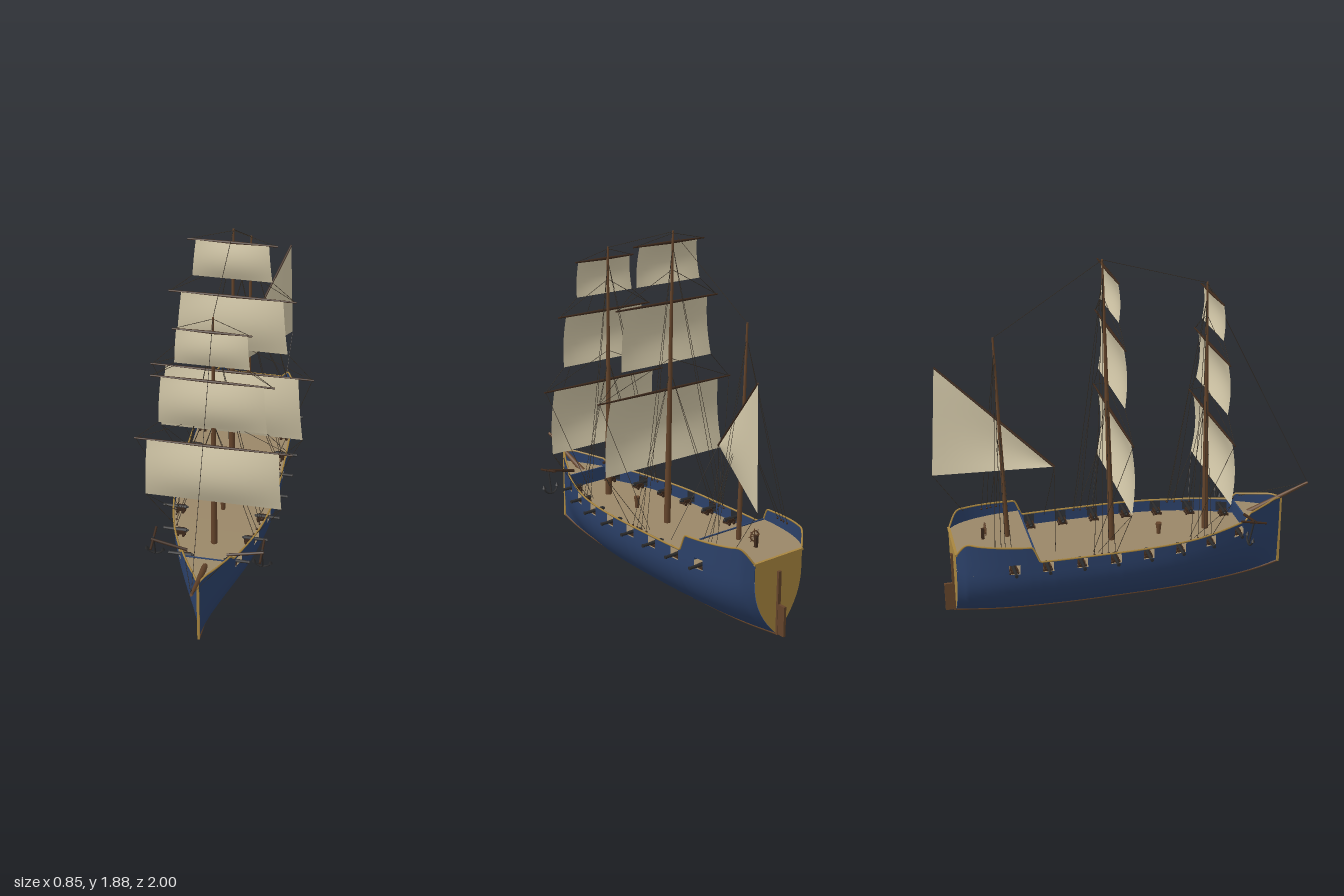
import * as THREE from 'three';
import { mergeGeometries } from 'three/addons/utils/BufferGeometryUtils.js';

const V = (x, y, z) => new THREE.Vector3(x, y, z);
const material = (name, color, side = THREE.FrontSide) =>
  Object.assign(new THREE.MeshStandardMaterial({ color, side }), { name });

// Smooth or straight lookup in a list of [z, value] pairs (z ascending)
function table(pairs, smooth) {
  const Kind = smooth ? THREE.CubicInterpolant : THREE.LinearInterpolant;
  const interp = new Kind(pairs.map(p => p[0]), pairs.map(p => p[1]), 1, new Float32Array(1));
  return z => interp.evaluate(z)[0];
}

const BOW = 0.845, STERN = -0.935, PORT_Y = 0.36, DECK = 0.352;
const halfWidth = table([[-0.935, 0.15], [-0.9, 0.185], [-0.83, 0.222], [-0.7, 0.255], [-0.5, 0.27], [-0.2, 0.274],
  [0, 0.272], [0.2, 0.255], [0.4, 0.212], [0.6, 0.135], [0.75, 0.06], [0.845, 0.003]], true);
const keelY = table([[-0.935, 0.05], [-0.7, 0.022], [-0.4, 0.008], [-0.1, 0.006], [0.3, 0.014],
  [0.6, 0.04], [0.75, 0.065], [0.845, 0.09]], true);
const topPairs = [[-0.935, 0.45], [-0.9, 0.51], [-0.88, 0.525], [-0.57, 0.505], [-0.53, 0.42], [0.3, 0.42],
  [0.6, 0.435], [0.63, 0.47], [0.8, 0.49], [0.845, 0.48]];
const topY = table(topPairs, false);
const ports = [-0.66, -0.49, -0.315, -0.14, 0.035, 0.21, 0.385, 0.56];

// Grid surface from a rule; cells can be left open
function surface(fn, nu, nv, skip = () => false) {
  const pos = [], index = [];
  for (let i = 0; i <= nu; i++) for (let j = 0; j <= nv; j++) pos.push(...fn(i, j));
  for (let i = 0; i < nu; i++) for (let j = 0; j < nv; j++) {
    if (skip(i, j)) continue;
    const a = i * (nv + 1) + j, c = a + nv + 1;
    index.push(a, a + 1, c, a + 1, c + 1, c);
  }
  const g = new THREE.BufferGeometry();
  g.setAttribute('position', new THREE.Float32BufferAttribute(pos, 3));
  g.setIndex(index);
  g.computeVertexNormals();
  return g;
}

// Tapered round bar between two points
function bar(a, b, ra, rb = ra, sides = 10) {
  const d = b.clone().sub(a);
  const g = new THREE.CylinderGeometry(rb, ra, d.length(), sides);
  g.applyQuaternion(new THREE.Quaternion().setFromUnitVectors(V(0, 1, 0), d.normalize()));
  return g.translate(...a.clone().add(b).multiplyScalar(0.5).toArray());
}
const box = (w, h, d, x, y, z) => new THREE.BoxGeometry(w, h, d).translate(x, y, z);

export function createModel() {
  const ship = new THREE.Group();
  ship.name = 'sailingShip';
  const navy = material('hullNavy', 0x2b4068, THREE.DoubleSide);
  const gold = material('trimGold', 0xa8853f);
  const transomGold = gold;
  const planks = material('deckPlanks', 0x9a8768, THREE.DoubleSide);
  const wood = material('mastWood', 0x63432a);
  const darkWood = material('darkWood', 0x3d291c);
  const iron = material('iron', 0x2a2a2b);
  const canvas = material('sailCanvas', 0xd0c5a6, THREE.DoubleSide);
  const cord = material('rope', 0x332b22);
  const add = (name, geo, mat, parent = ship) => {
    const m = new THREE.Mesh(Array.isArray(geo) ? mergeGeometries(geo) : geo, mat);
    m.name = name;
    parent.add(m);
    return m;
  };

  // Hull stations include every gun port edge and every break in the rail
  const zs = [...topPairs.map(p => p[0]), ...ports.flatMap(p => [p - 0.028, p + 0.028])];
  for (let i = 1; i < 36; i++) {
    const z = STERN + (BOW - STERN) * i / 36;
    if (!ports.some(p => Math.abs(z - p) < 0.04) && zs.every(q => Math.abs(z - q) > 0.008)) zs.push(z);
  }
  zs.sort((a, b) => a - b);
  const n = zs.length - 1, ROWS = 9;
  const section = (z, j) => {
    const w = halfWidth(z), k = keelY(z), t = Math.min(j / ROWS, 1);
    if (j <= ROWS) return [w * (1 - (1 - t) ** 2.2), k + (PORT_Y - k) * t];
    return [w, j === ROWS + 1 ? 0.413 : topY(z)];
  };
  const isPort = (i, j) => j === ROWS && ports.some(p => Math.abs((zs[i] + zs[i + 1]) / 2 - p) < 0.027);
  for (const s of [1, -1]) {
    const side = s > 0 ? 'left' : 'right';
    add(side + 'Hull', surface((i, j) => {
      const [x, y] = section(zs[i], j);
      return [s * x, y, zs[i]];
    }, n, ROWS + 2, isPort), navy);
    const rail = new THREE.CatmullRomCurve3(zs.map(z => V(s * halfWidth(z), topY(z), z)), false, 'centripetal');
    add(side + 'Rail', new THREE.TubeGeometry(rail, 160, 0.005, 5), gold);
  }

  // Transom, stem, keel and rudder
  add('transom', surface((i, j) => {
    const [x, y] = section(STERN, j);
    return [(i - 1) * x, y, STERN - 0.003];
  }, 2, ROWS + 2), transomGold);
  add('transomInside', box(0.3, 0.09, 0.006, 0, 0.405, STERN + 0.003), navy);
  add('transomRail', box(0.31, 0.01, 0.014, 0, 0.45, STERN), gold);
  add('stem', box(0.012, 0.395, 0.014, 0, 0.285, BOW), gold);
  const keel = new THREE.CatmullRomCurve3(zs.map(z => V(0, keelY(z) + 0.001, z)));
  add('keel', new THREE.TubeGeometry(keel, 60, 0.007, 6), wood);
  add('rudder', [box(0.014, 0.155, 0.05, 0, 0.132, -0.966), box(0.018, 0.33, 0.014, 0, 0.215, -0.943)], wood);

  // Decks and their bulkheads
  const deck = (name, z0, z1, y) => add(name, surface((i, j) => {
    const z = z0 + (z1 - z0) * i / 24;
    return [(j - 1) * (halfWidth(z) - 0.001), y, z];
  }, 24, 2), planks);
  deck('mainDeck', STERN, BOW, DECK);
  deck('quarterDeck', STERN, -0.545, 0.445);
  deck('foreDeck', 0.62, BOW, 0.425);
  add('quarterBulkhead', box(0.53, 0.1, 0.008, 0, 0.4, -0.545), navy);
  add('foreBulkhead', box(0.24, 0.076, 0.008, 0, 0.39, 0.62), navy);

  // Cannons at every port
  for (const z of ports) for (const s of [1, -1]) {
    const gun = new THREE.Group();
    gun.name = 'cannon';
    gun.position.set(s * halfWidth(z), DECK, z);
    if (s < 0) gun.rotation.y = Math.PI;
    const wheels = [-0.052, -0.022].flatMap(x => [-0.021, 0.021].map(w =>
      new THREE.CylinderGeometry(0.008, 0.008, 0.007, 10).rotateX(Math.PI / 2).translate(x, 0.008, w)));
    add('carriage', [box(0.055, 0.012, 0.034, -0.036, 0.014, 0), box(0.04, 0.014, 0.006, -0.036, 0.023, 0.014),
      box(0.04, 0.014, 0.006, -0.036, 0.023, -0.014), ...wheels], darkWood, gun);
    add('barrel', [bar(V(-0.065, 0.028, 0), V(0.055, 0.028, 0), 0.011, 0.007),
      bar(V(0.048, 0.028, 0), V(0.056, 0.028, 0), 0.009), new THREE.SphereGeometry(0.007, 8, 6).translate(-0.07, 0.028, 0)], iron, gun);
    ship.add(gun);
  }

  // Catheads and anchors
  for (const s of [1, -1]) {
    add('cathead', bar(V(s * 0.1, 0.455, 0.605), V(s * 0.285, 0.5, 0.605), 0.008, 0.007, 6), darkWood);
    const anchor = new THREE.Group();
    anchor.name = 'anchor';
    add('stock', bar(V(0, 0, -0.07), V(0, 0, 0.07), 0.006), darkWood, anchor);
    const flukes = [-1, 1].map(e => new THREE.ConeGeometry(0.011, 0.024, 6).translate(e * 0.042, -0.082, 0));
    add('shankAndArms', [bar(V(0, 0.01, 0), V(0, -0.125, 0), 0.005),
      new THREE.TorusGeometry(0.042, 0.005, 6, 12, Math.PI).rotateZ(Math.PI).translate(0, -0.084, 0), ...flukes], iron, anchor);
    anchor.position.set(s * 0.275, 0.498, 0.595);
    anchor.rotation.x = 0.2;
    ship.add(anchor);
  }

  // Capstan and steering wheel
  add('capstan', [bar(V(0, DECK, 0.16), V(0, DECK + 0.05, 0.16), 0.011, 0.014),
    bar(V(0, DECK + 0.05, 0.16), V(0, DECK + 0.062, 0.16), 0.016)], wood);
  const spokes = [0, 1, 2, 3].map(i => new THREE.CylinderGeometry(0.0025, 0.0025, 0.072, 6).rotateZ(i * Math.PI / 4).translate(0, 0.5, -0.765));
  add('steeringWheel', [new THREE.TorusGeometry(0.025, 0.004, 6, 20).translate(0, 0.5, -0.765), ...spokes], wood);
  add('wheelPost', box(0.014, 0.06, 0.016, 0, 0.475, -0.778), darkWood);

  // Masts and bowsprit
  const ropes = [];
  const rope = (a, b) => ropes.push(bar(a, b, 0.0014, 0.0014, 4));
  const masts = {
    fore: { z0: 0.418, z1: 0.4, top: 1.725, rail: [0.39, 0.35, 0.31, 0.27], yards: [
      [1.0, 0.39, 0.325, 0.345, 0.65, 0.045], [1.385, 0.295, 0.245, 0.265, 1.115, 0.035], [1.66, 0.185, 0.165, 0.178, 1.475, 0.022]] },
    main: { z0: -0.098, z1: -0.136, top: 1.88, rail: [-0.14, -0.175, -0.21, -0.25], yards: [
      [1.07, 0.425, 0.345, 0.38, 0.68, 0.045], [1.52, 0.32, 0.255, 0.285, 1.21, 0.035], [1.82, 0.22, 0.178, 0.198, 1.62, 0.025]] },
    mizzen: { z0: -0.65, z1: -0.682, top: 1.53, rail: [-0.67, -0.7, -0.72, -0.75], yards: [] },
  };
  for (const [name, m] of Object.entries(masts)) {
    const at = y => m.z0 + (m.z1 - m.z0) * (y - DECK) / (m.top - DECK);
    const r = name === 'mizzen' ? 0.014 : 0.018;
    add(name + 'Mast', bar(V(0, DECK, m.z0), V(0, m.top, m.z1), r, 0.005, 12), wood);
    m.yards.forEach(([y, reach, wTop, wBottom, yLow, belly], k) => {
      const z = at(y) + 0.026;
      for (const s of [1, -1]) add(name + 'Yard', bar(V(0, y, z), V(s * reach, y, z), 0.008, 0.004, 8), darkWood);
      // Square sail with a forward belly
      add(name + 'Sail', surface((i, j) => {
        const u = i / 6 - 1, v = j / 10;
        return [u * (wTop + (wBottom - wTop) * v), y + (yLow - y) * v,
          z + 0.005 + belly * Math.sin(Math.PI * v) * (1 - 0.6 * u * u)];
      }, 12, 10), canvas);
      const below = m.yards[k - 1];
      for (const s of [1, -1]) {
        // Sheets, lifts and braces
        const clew = V(s * wBottom, yLow, z + 0.005), tip = V(s * reach * 0.98, y, z);
        const aft = m.rail[3];
        if (below) rope(clew, V(s * below[1] * 0.98, below[0], at(below[0]) + 0.026));
        else {
          rope(clew, V(s * halfWidth(aft) * 0.9, 0.42, aft + 0.02));
          rope(clew, V(s * halfWidth(m.rail[0]), 0.42, m.rail[0]));
          rope(tip, V(s * halfWidth(aft) * 0.85, 0.42, aft));
        }
        rope(tip, V(0, Math.min(y + 0.17, m.top - 0.01), at(y + 0.17)));
      }
    });
    // Shrouds and deadeyes
    for (const s of [1, -1]) m.rail.forEach((z, i) => {
      const w = halfWidth(z) * 0.93, y = name === 'mizzen' ? 0.5 : 0.415;
      const hound = i < 2 ? 0.5 + m.top * 0.36 : m.top - 0.07;
      rope(V(s * w, y, z), V(0, hound, at(hound)));
      add('deadeye', new THREE.SphereGeometry(0.006, 6, 5).translate(s * w, y, z), darkWood);
    });
  }
  add('bowsprit', bar(V(0, 0.412, 0.66), V(0, 0.55, 0.998), 0.017, 0.007, 10), wood);

  // Lateen sail on its slanted yard
  const peak = V(0.18, 1.335, -0.957), tack = V(-0.075, 0.845, -0.41), clew = V(0.2, 0.738, -0.998);
  add('lateenYard', bar(tack, peak, 0.007, 0.005, 8), darkWood);
  add('lateenSail', surface((i, j) => {
    const u = i / 10, v = j / 10;
    const p = tack.clone().lerp(peak.clone().lerp(clew, v), u);
    p.x += 0.02 * Math.sin(Math.PI * v) * Math.sin(Math.PI * u);
    return p.toArray();
  }, 10, 10), canvas);
  rope(clew, V(0.19, 0.52, -0.85));
  rope(tack, V(0.23, 0.42, -0.415));
  rope(tack, V(-0.075, 0.36, -0.415));

  // Stays between mastheads and from the bowsprit
  const stays = [V(0, 0.55, 0.997), ...Object.values(masts).map(m => V(0, m.top - 0.003, m.z1))];
  for (let i = 0; i < 3; i++) rope(stays[i], stays[i + 1]);
  for (const s of [1, -1]) rope(stays[0], V(s * 0.11, 0.46, 0.64));
  add('rigging', ropes, cord);
  return ship;
}
